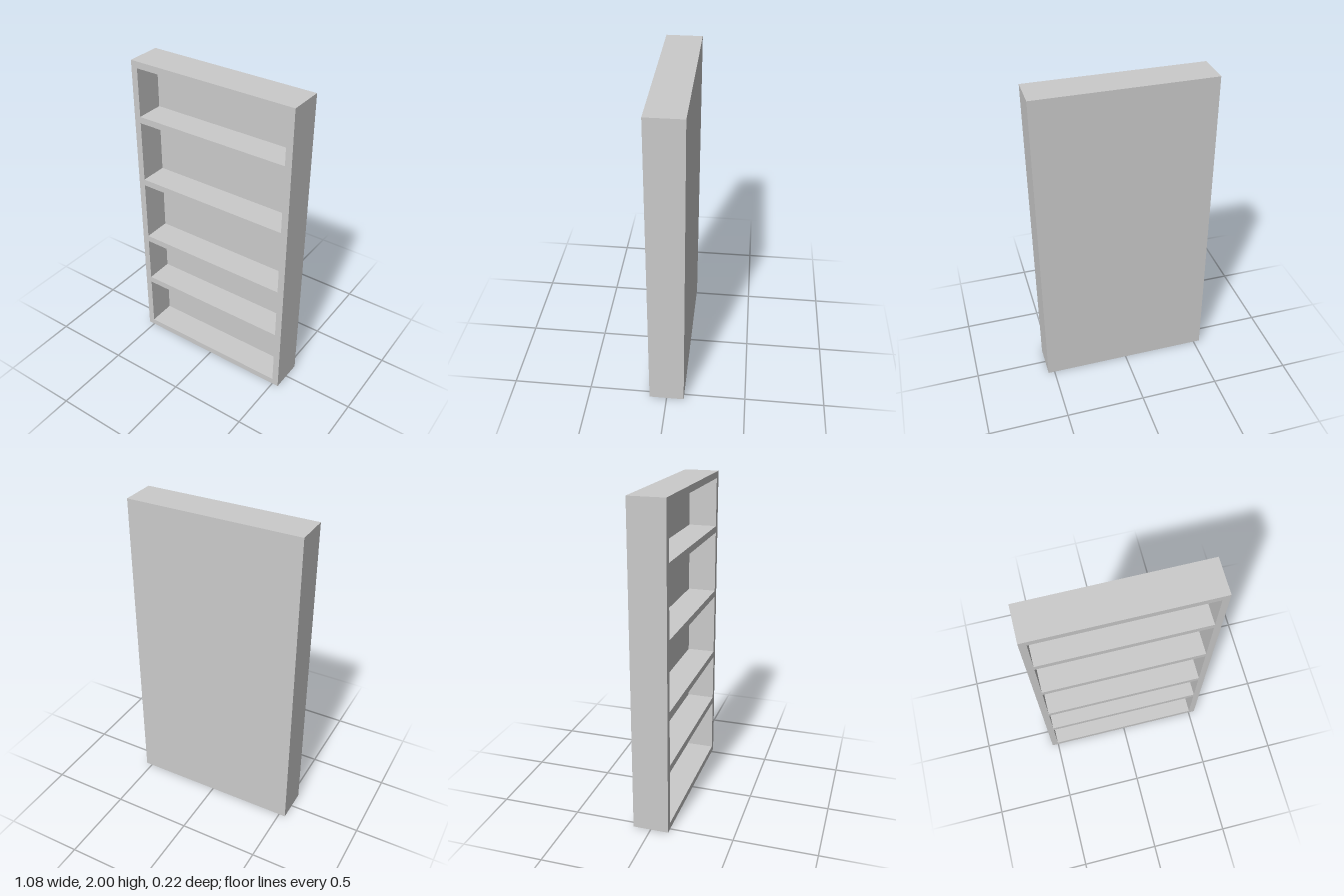
import * as THREE from 'three';

const WIDTH = 1.083, HEIGHT = 2, DEPTH = 0.22;
const BOARD = 0.0416; // thickness of every board
const BAYS = [16, 14, 18, 18, 14]; // relative bay heights, bottom to top

function rectangle(path, x0, y0, x1, y1) {
  path.moveTo(x0, y0);
  path.lineTo(x1, y0);
  path.lineTo(x1, y1);
  path.lineTo(x0, y1);
  path.closePath();
  return path;
}

export function createModel() {
  const group = new THREE.Group();
  group.name = 'shallowBookcase';
  const material = new THREE.MeshStandardMaterial({ color: 0xcccccc });

  // Case and shelves: one flush front with an opening for each bay
  const half = WIDTH / 2;
  const outline = rectangle(new THREE.Shape(), -half, 0, half, HEIGHT);
  const unit = (HEIGHT - BOARD * (BAYS.length + 1)) / BAYS.reduce((a, b) => a + b);
  let y = BOARD;
  for (const bay of BAYS) {
    const top = y + bay * unit;
    outline.holes.push(rectangle(new THREE.Path(), BOARD - half, y, half - BOARD, top));
    y = top + BOARD;
  }
  const frame = new THREE.Mesh(
    new THREE.ExtrudeGeometry(outline, { depth: DEPTH - BOARD, bevelEnabled: false }),
    material
  );
  frame.name = 'caseAndShelves';
  frame.position.z = BOARD - DEPTH / 2;
  group.add(frame);

  // Solid back panel
  const back = new THREE.Mesh(new THREE.BoxGeometry(WIDTH, HEIGHT, BOARD), material);
  back.name = 'backPanel';
  back.position.set(0, HEIGHT / 2, (BOARD - DEPTH) / 2);
  group.add(back);

  return group;
}
